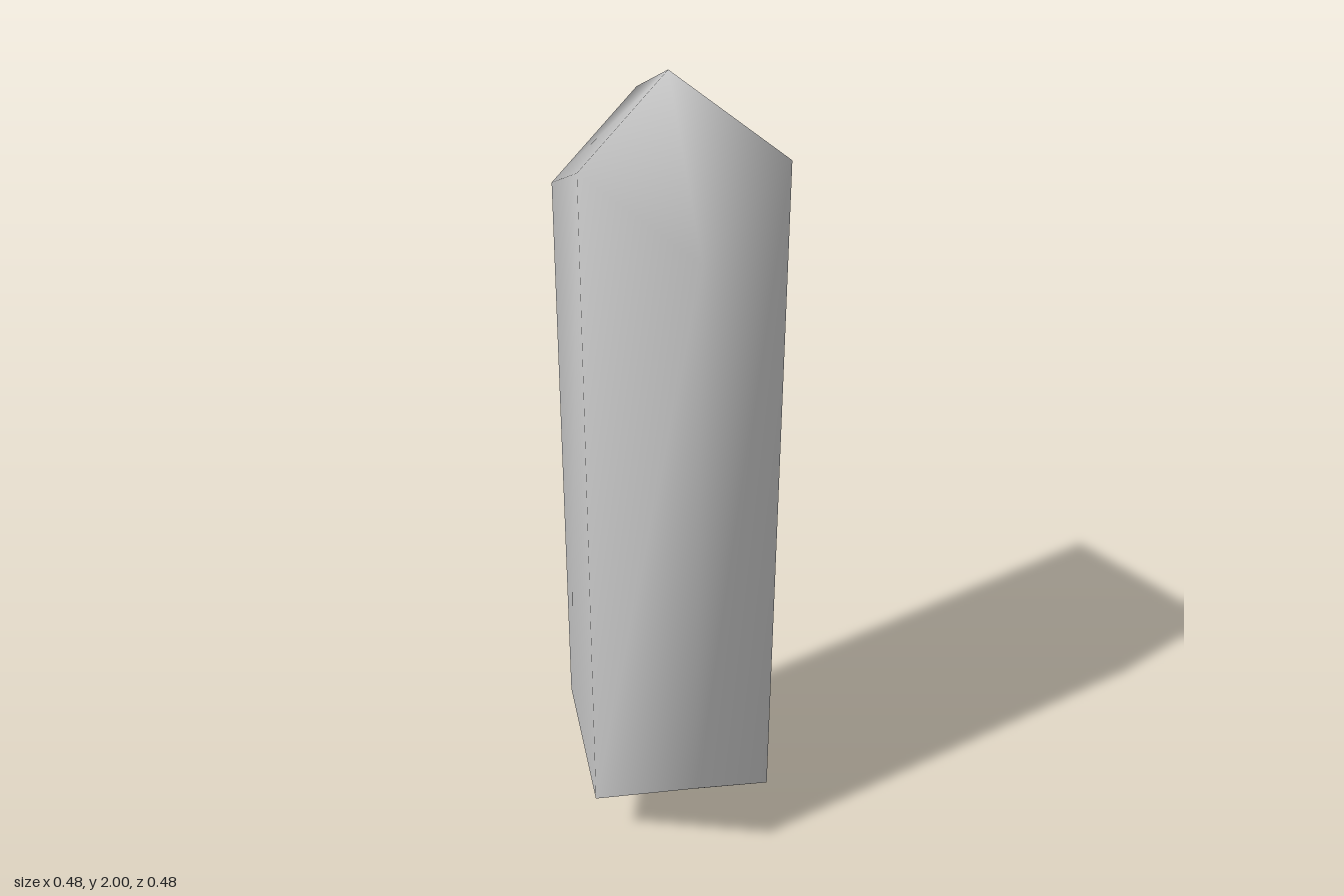
import * as THREE from 'three';

export function createModel() {
  const group = new THREE.Group();

  // six-sided outline; corners alternate between short and tall edges
  const outline = [[0.24, 0], [0.12, 0.24], [-0.12, 0.24], [-0.24, 0], [-0.12, -0.24], [0.12, -0.24]];
  const n = outline.length;
  const positions = [];
  outline.forEach(([x, z], i) => positions.push(x, i % 2 ? 0.13 : 0.265, z));
  outline.forEach(([x, z], i) => positions.push(x, i % 2 ? 1.85 : 1.7, z));
  positions.push(0, 0, 0, 0, 2, 0);
  const bottomTip = 2 * n, topTip = 2 * n + 1;

  // side panels plus the facets running to each tip
  const index = [];
  for (let i = 0; i < n; i++) {
    const j = (i + 1) % n;
    index.push(j, i, i + n, j, i + n, j + n);
    index.push(j + n, i + n, topTip);
    index.push(i, j, bottomTip);
  }

  // shared corners give soft shading over the whole shard
  const geometry = new THREE.BufferGeometry();
  geometry.setAttribute('position', new THREE.Float32BufferAttribute(positions, 3));
  geometry.setIndex(index);
  geometry.computeVertexNormals();

  const crystal = new THREE.Mesh(geometry, new THREE.MeshStandardMaterial({ color: 0xcccccc }));
  crystal.name = 'crystal';
  group.add(crystal);
  return group;
}
